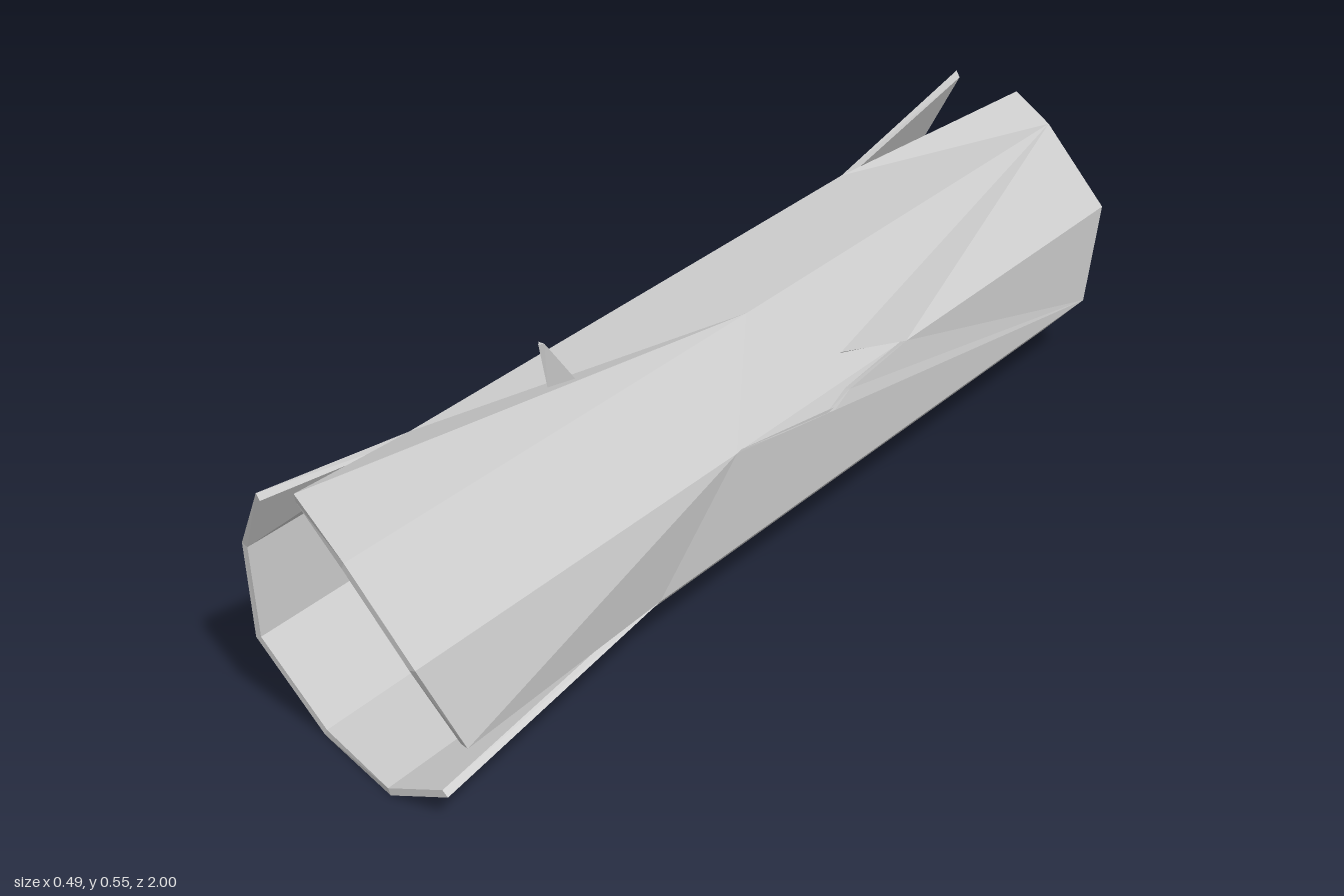
import * as THREE from 'three';

// Long ridges of the hollow trunk, listed counterclockwise seen from +z.
// Each runs back to front as [x, y, z]; "before" and "after" are the edges of
// the two neighbouring planks, which part where the trunk is cracked.
const ridge = (before, after = before) => ({ before, after });
const RIDGES = [
  // bottom
  ridge([[-0.115, 0, -0.96], [-0.115, 0, 0.88]]),
  ridge([[0.075, 0, -0.96], [0.075, 0, 0.935]]),
  // left lower, split open at the front
  ridge([[0.2, 0.135, -0.9], [0.2, 0.135, 0.42], [0.195, 0.05, 0.935]],
    [[0.2, 0.135, -0.9], [0.2, 0.135, 0.42], [0.245, 0.165, 0.94]]),
  // left upper, with a gap in the middle
  ridge([[0.205, 0.32, -0.94], [0.188, 0.3, -0.3], [0.193, 0.285, -0.12], [0.2, 0.267, -0.06], [0.205, 0.32, 0.22], [0.205, 0.32, 1]],
    [[0.205, 0.32, -0.94], [0.188, 0.3, -0.3], [0.173, 0.35, -0.12], [0.205, 0.32, 0.22], [0.205, 0.32, 1]]),
  // top left
  ridge([[0.075, 0.455, -0.945], [0.075, 0.453, 0.02], [0.075, 0.455, 1]]),
  // top right, split open at both ends
  ridge([[-0.02, 0.485, -0.98], [-0.115, 0.448, -0.53], [-0.115, 0.448, 0.65], [-0.08, 0.487, 0.94]],
    [[-0.17, 0.483, -1], [-0.115, 0.448, -0.53], [-0.115, 0.448, 0.65], [-0.172, 0.45, 0.93]]),
  // right upper, with a gap in the middle
  ridge([[-0.245, 0.32, -0.975], [-0.235, 0.322, -0.05], [-0.212, 0.335, 0.1], [-0.245, 0.32, 0.56], [-0.245, 0.32, 0.9]],
    [[-0.245, 0.32, -0.975], [-0.235, 0.322, -0.05], [-0.242, 0.29, 0.12], [-0.245, 0.32, 0.56], [-0.245, 0.32, 0.9]]),
  // right lower, split open at the back
  ridge([[-0.225, 0.19, -0.97], [-0.243, 0.14, -0.36], [-0.243, 0.14, 0.89]],
    [[-0.245, 0.075, -0.91], [-0.243, 0.14, -0.36], [-0.243, 0.14, 0.89]]),
];

const AXIS = [-0.02, 0.23];
const WALL = 0.95;
const inner = ([x, y, z]) => [
  AXIS[0] + (x - AXIS[0]) * WALL, AXIS[1] + (y - AXIS[1]) * WALL, z];

function facetedMesh(name, triangles) {
  const geometry = new THREE.BufferGeometry();
  geometry.setAttribute('position', new THREE.Float32BufferAttribute(triangles.flat(2), 3));
  geometry.computeVertexNormals();
  const mesh = new THREE.Mesh(geometry, new THREE.MeshStandardMaterial({
    color: 0xcccccc, flatShading: true, side: THREE.DoubleSide }));
  mesh.name = name;
  return mesh;
}

// A thick plank between two edges, walled at its ends and along cracks
function plank(P, Q, otherP, otherQ) {
  const tris = [];
  const quad = (a, b, c, d) => tris.push([a, b, c], [a, c, d]);
  const skin = (a, b, c) => tris.push([a, b, c], [inner(a), inner(c), inner(b)]);

  // outer and inner skins
  let i = 0, j = 0;
  while (i < P.length - 1 || j < Q.length - 1) {
    const stepP = j === Q.length - 1 || (i < P.length - 1 && P[i + 1][2] <= Q[j + 1][2]);
    if (stepP) { skin(P[i], Q[j], P[i + 1]); i++; }
    else { skin(P[i], Q[j], Q[j + 1]); j++; }
  }

  // end walls
  quad(Q[0], P[0], inner(P[0]), inner(Q[0]));
  const p = P.at(-1), q = Q.at(-1);
  quad(p, q, inner(q), inner(p));

  // crack walls
  const crack = (edge, other, flip) => {
    const key = (a, b) => `${a}|${b}`;
    const shared = new Set(other.slice(1).map((b, k) => key(other[k], b)));
    for (let k = 0; k < edge.length - 1; k++) {
      const [a, b] = [edge[k], edge[k + 1]];
      if (shared.has(key(a, b))) continue;
      if (flip) quad(b, inner(b), inner(a), a);
      else quad(a, inner(a), inner(b), b);
    }
  };
  crack(Q, otherQ, false);
  crack(P, otherP, true);
  return tris;
}

// Small splinter: a tapered three-sided stub leaning forward
function splinter() {
  const base = [[-0.04, 0.455, 0.375], [-0.02, 0.455, 0.425], [0, 0.455, 0.375]];
  const tip = [[-0.026, 0.545, 0.437], [-0.02, 0.545, 0.445], [-0.014, 0.545, 0.437]];
  const tris = [tip];
  for (let k = 0; k < 3; k++) {
    const n = (k + 1) % 3;
    tris.push([base[k], base[n], tip[n]], [base[k], tip[n], tip[k]]);
  }
  return tris;
}

export function createModel() {
  const model = new THREE.Group();
  model.name = 'hollowLog';
  const names = ['bottom', 'leftLower', 'leftSide', 'leftUpper', 'top', 'rightUpper', 'rightSide', 'rightLower'];
  RIDGES.forEach((r, k) => {
    const next = RIDGES[(k + 1) % RIDGES.length];
    model.add(facetedMesh(`${names[k]}Bark`, plank(r.after, next.before, r.before, next.after)));
  });
  model.add(facetedMesh('splinter', splinter()));
  return model;
}
